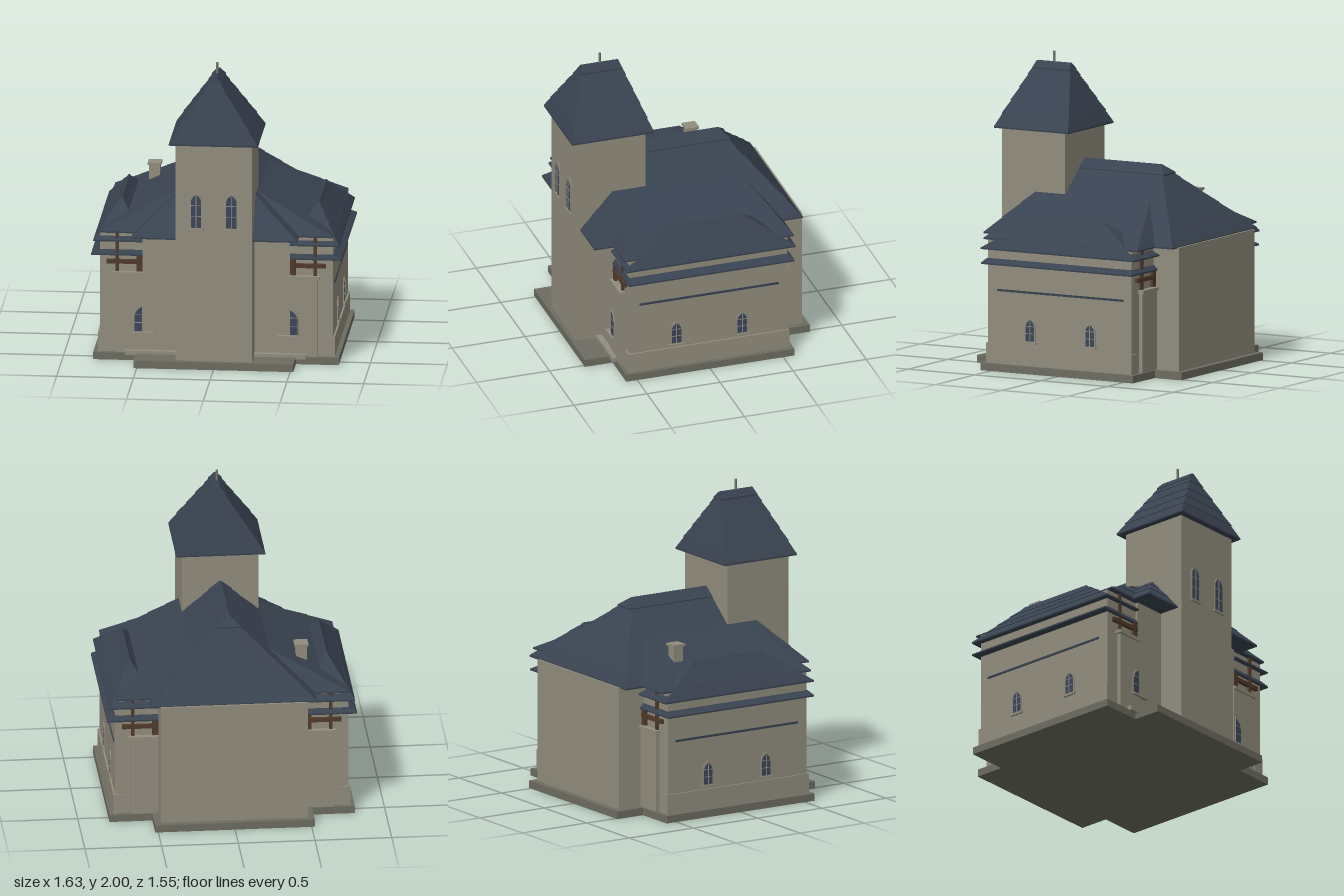
import * as THREE from 'three';

const mat = (name, color) => Object.assign(new THREE.MeshStandardMaterial({ color }), { name });

export function createModel() {
  const root = new THREE.Group();
  const wall = mat('plaster', 0x918c7d);
  const stone = mat('plinthStone', 0x6c6c61);
  const slate = mat('slate', 0x394250);
  const pane = mat('windowGlass', 0x3b455a);
  const wood = mat('darkWood', 0x513a2b);
  const metal = mat('finialMetal', 0x77776f);

  const add = (name, geo, m, parent = root) => {
    const mesh = new THREE.Mesh(geo, m);
    mesh.name = name;
    parent.add(mesh);
    return mesh;
  };
  // Box given by its limits on each axis
  const box = (name, m, x0, x1, y0, y1, z0, z1, parent = root) => {
    const g = new THREE.BoxGeometry(Math.abs(x1 - x0), y1 - y0, z1 - z0);
    g.translate((x0 + x1) / 2, (y0 + y1) / 2, (z0 + z1) / 2);
    return add(name, g, m, parent);
  };

  // Hipped roof from a lower to an upper rectangle [x0, x1, z0, z1], in overlapping courses
  const hipRoof = (name, lo, hi, y0, y1, courses, lip = 0.005) => {
    const ring = (t, out, dy = 0) => {
      const r = lo.map((v, i) => v + (hi[i] - v) * t + (i % 2 ? out : -out));
      const y = y0 + (y1 - y0) * t + dy;
      return [[r[0], y, r[3]], [r[1], y, r[3]], [r[1], y, r[2]], [r[0], y, r[2]]];
    };
    const rings = [ring(0, 0, -0.01)];
    for (let i = 0; i < courses; i++) {
      rings.push(ring(i / courses, i ? lip : 0), ring((i + 1) / courses, 0));
    }
    const pos = [];
    const quad = (a, b, c, d) => pos.push(...a, ...b, ...c, ...a, ...c, ...d);
    for (let i = 0; i + 1 < rings.length; i++) {
      for (let k = 0; k < 4; k++) {
        const n = (k + 1) % 4;
        quad(rings[i][k], rings[i][n], rings[i + 1][n], rings[i + 1][k]);
      }
    }
    quad(...rings[rings.length - 1]);
    quad(...[...rings[0]].reverse());
    const g = new THREE.BufferGeometry();
    g.setAttribute('position', new THREE.Float32BufferAttribute(pos, 3));
    g.computeVertexNormals();
    return add(name, g, slate);
  };

  // Pointed window; lo and hi choose the left and right halves
  const arch = (w, h, lo, hi) => {
    const s = new THREE.Shape();
    s.moveTo(lo * w, 0);
    s.lineTo(hi * w, 0);
    s.lineTo(hi * w, h - w * 1.3);
    s.quadraticCurveTo(hi * w * 0.85, h - w * 0.4, 0, h);
    s.quadraticCurveTo(lo * w * 0.85, h - w * 0.4, lo * w, h - w * 1.3);
    return s;
  };
  const windowAt = (name, w, h, x, y, z, turn = 0, lo = -1, hi = 1) => {
    const g = new THREE.Group();
    g.name = name;
    const frame = new THREE.ExtrudeGeometry(arch(w, h, lo, hi), { depth: 0.006, bevelEnabled: false, curveSegments: 6 });
    add('windowFrame', frame, wall, g);
    const glass = new THREE.ShapeGeometry(arch(w - 0.008, h - 0.02, lo, hi), 6);
    add('windowPane', glass.translate(0, 0.006, 0.0075), pane, g);
    if (lo && hi) box('mullion', wall, -0.003, 0.003, 0, h - 0.02, 0.006, 0.011, g);
    for (const f of [0.35, 0.65]) {
      box('glazingBar', wall, lo * w * 0.85, hi * w * 0.85, h * f - 0.002, h * f + 0.002, 0.006, 0.01, g);
    }
    box('sill', wall, -w - 0.008, w + 0.008, -0.014, 0, 0, 0.014, g);
    g.position.set(x, y, z);
    g.rotation.y = turn;
    root.add(g);
  };

  // Plinth and steps
  box('centrePlinth', stone, -0.52, 0.52, 0, 0.05, -0.775, 0.765);
  box('wingPlinth', stone, -0.8, 0.8, 0, 0.049, -0.575, 0.575);
  box('frontStep', wall, -0.59, 0.59, 0.04, 0.07, 0.5, 0.6);

  // Main walls and tower
  box('centralBlock', wall, -0.48, 0.48, 0.045, 0.86, -0.735, 0.56);
  box('wingBlock', wall, -0.76, 0.76, 0.045, 0.855, -0.54, 0.54);
  box('tower', wall, -0.25, 0.25, 0.045, 1.515, 0.26, 0.735);

  // Main roofs
  hipRoof('crossRoof', [-0.76, 0.76, -0.585, 0.575], [-0.23, 0.23, -0.37, 0.37], 0.865, 1.115, 3);
  hipRoof('mainRoof', [-0.54, 0.54, -0.72, 0.705], [-0.006, 0.006, -0.315, 0.3], 0.865, 1.31, 5);
  hipRoof('towerRoof', [-0.29, 0.29, 0.215, 0.775], [-0.008, 0.008, 0.365, 0.615], 1.52, 1.925, 5);
  hipRoof('mainRidgeCap', [-0.075, 0.075, -0.38, 0.3], [-0.006, 0.006, -0.318, 0.3], 1.262, 1.316, 1);
  hipRoof('towerRidgeCap', [-0.044, 0.044, 0.349, 0.63], [-0.008, 0.008, 0.364, 0.618], 1.89, 1.93, 1);
  const finial = add('finial', new THREE.CylinderGeometry(0.008, 0.008, 0.1, 8), metal);
  finial.position.set(0, 1.95, 0.49);

  // Chimney
  box('chimney', wall, -0.51, -0.44, 0.9, 1.09, -0.325, -0.255);
  box('chimneyCap', wall, -0.52, -0.43, 1.085, 1.1, -0.335, -0.245);

  // Tower windows
  for (const x of [-0.115, 0.115]) windowAt('towerWindow', 0.042, 0.24, x, 0.945, 0.735);

  // Matching wings
  for (const s of [-1, 1]) {
    const rect = (a, b, z0, z1) => (s > 0 ? [a, b, z0, z1] : [-b, -a, z0, z1]);
    const b = (name, m, x0, x1, ...rest) => box(name, m, s * x0, s * x1, ...rest);

    b('wallBase', wall, 0.7, 0.772, 0.045, 0.18, -0.55, 0.55);
    b('stringCourse', slate, 0.755, 0.766, 0.523, 0.537, -0.48, 0.47);
    hipRoof('lowerEave', rect(0.48, 0.815, -0.572, 0.562), rect(0.48, 0.765, -0.545, 0.545), 0.71, 0.735, 1);
    hipRoof('wingRoof', rect(0.48, 0.8, -0.585, 0.572), rect(0.636, 0.646, -0.275, 0.265), 0.805, 1.005, 4);
    hipRoof('wingRidgeCap', rect(0.605, 0.677, -0.31, 0.295), rect(0.638, 0.644, -0.27, 0.26), 0.968, 1.013, 1);

    // Corner piers with caps, front and back
    for (const f of [-1, 1]) {
      const span = (a, c) => (f > 0 ? [a, c] : [-c, -a]);
      b('pier', wall, 0.47, 0.66, 0.045, 0.575, ...span(0.5, 0.566));
      b('pierCap', wall, 0.47, 0.676, 0.57, 0.592, ...span(0.5, 0.58));
      b('timberPost', wood, 0.635, 0.655, 0.592, 0.86, ...span(0.53, 0.556));
      b('timberBeam', wood, 0.48, 0.715, 0.645, 0.672, ...span(0.53, 0.562));
      b('timberBracket', wood, 0.48, 0.518, 0.595, 0.705, ...span(0.53, 0.56));
    }

    // Half-hidden front window and two side windows
    windowAt('frontWindow', 0.056, 0.185, s * 0.483, 0.19, 0.566, 0, s > 0 ? 0 : -1, s > 0 ? 1 : 0);
    b('frontSill', wall, 0.4, 0.54, 0.176, 0.19, 0.55, 0.585);
    for (const z of [-0.23, 0.22]) windowAt('sideWindow', 0.04, 0.16, s * 0.76, 0.205, z, s * Math.PI / 2);
  }
  return root;
}
